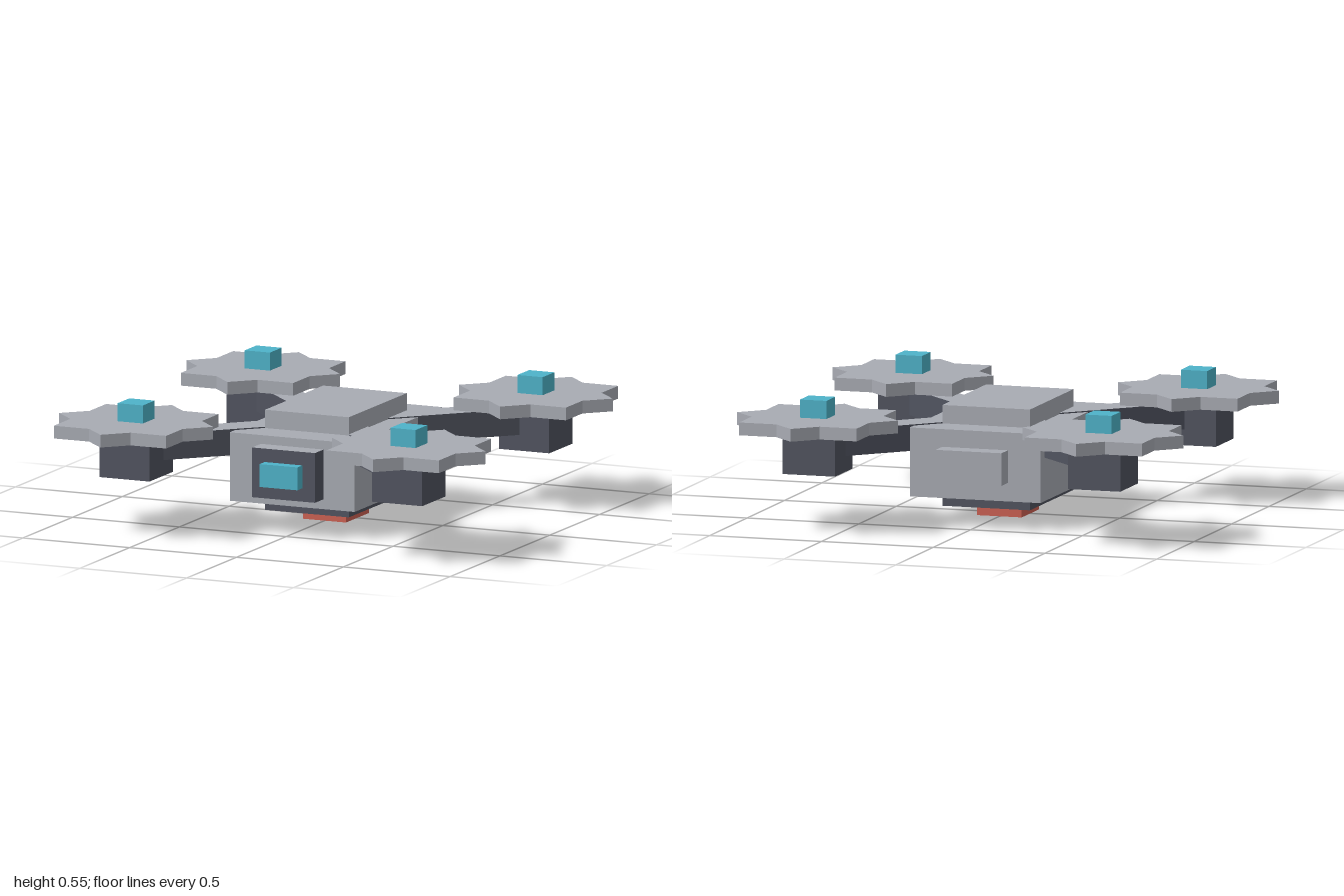
import * as THREE from 'three';

const mat = (name, color) => {
  const m = new THREE.MeshStandardMaterial({ color });
  m.name = name;
  return m;
};

export function createModel() {
  const grey = mat('hull grey', 0xa8abb3);
  const dark = mat('dark frame', 0x50535f);
  const teal = mat('teal light', 0x4eb3c9);
  const red = mat('red sensor', 0xcc6052);
  // box faces run +x, -x, +y, -y, +z, -z: dark with a grey top
  const greyTopped = [dark, dark, grey, dark, dark, dark];

  const model = new THREE.Group();
  model.name = 'quadcopter';

  // box given by its lower and upper limits on each axis
  function box(parent, name, material, [x0, x1], [y0, y1], [z0, z1]) {
    const mesh = new THREE.Mesh(new THREE.BoxGeometry(x1 - x0, y1 - y0, z1 - z0), material);
    mesh.position.set((x0 + x1) / 2, (y0 + y1) / 2, (z0 + z1) / 2);
    mesh.name = name;
    parent.add(mesh);
    return mesh;
  }

  // hull
  box(model, 'body', grey, [-0.292, 0.292], [0.12, 0.416], [-0.44, 0.44]);
  box(model, 'lid', grey, [-0.196, 0.196], [0.416, 0.495], [-0.292, 0.292]);
  box(model, 'bellyPlate', dark, [-0.196, 0.196], [0.062, 0.12], [-0.292, 0.292]);
  box(model, 'bellySensor', red, [-0.1, 0.1], [0, 0.062], [-0.115, 0.115]);

  // camera at the front, hatch at the back
  box(model, 'cameraHousing', greyTopped, [-0.147, 0.147], [0.163, 0.378], [0.44, 0.527]);
  box(model, 'cameraLens', teal, [-0.088, 0.088], [0.221, 0.32], [0.527, 0.577]);
  box(model, 'rearHatch', grey, [-0.147, 0.147], [0.2, 0.34], [-0.527, -0.44]);

  // rotor: a square crossed with a diamond, giving an eight-pointed star
  const half = 0.263, tip = 0.36, notch = tip - half;
  const star = [];
  for (let i = 0; i < 4; i++) {
    const turn = new THREE.Vector2();
    for (const [x, y] of [[tip, 0], [half, notch], [half, half], [notch, half]]) {
      star.push(new THREE.Vector2(x, y).rotateAround(turn, i * Math.PI / 2));
    }
  }
  const rotorGeometry = new THREE.ExtrudeGeometry(new THREE.Shape(star), { depth: 0.055, bevelEnabled: false });
  rotorGeometry.rotateX(-Math.PI / 2);

  // four corners, each with an arm, motor, rotor and hub
  const reach = 0.638;
  for (const sx of [-1, 1]) {
    for (const sz of [-1, 1]) {
      const corner = new THREE.Group();
      corner.name = (sz > 0 ? 'front' : 'rear') + (sx > 0 ? 'Left' : 'Right') + 'Corner';
      corner.position.set(sx * reach, 0, sz * reach);
      model.add(corner);

      const arm = box(model, corner.name + 'Arm', greyTopped, [-0.067, 0.067], [0.308, 0.421], [0.2, 0.9]);
      arm.position.x = sx * 0.55 * Math.SQRT1_2;
      arm.position.z = sz * 0.55 * Math.SQRT1_2;
      arm.rotation.y = Math.atan2(sx, sz);

      box(corner, 'motor', dark, [-0.117, 0.117], [0.24, 0.421], [-0.117, 0.117]);
      const rotor = new THREE.Mesh(rotorGeometry, grey);
      rotor.name = 'rotor';
      rotor.position.y = 0.421;
      corner.add(rotor);
      box(corner, 'hub', teal, [-0.059, 0.059], [0.476, 0.554], [-0.059, 0.059]);
    }
  }
  return model;
}
